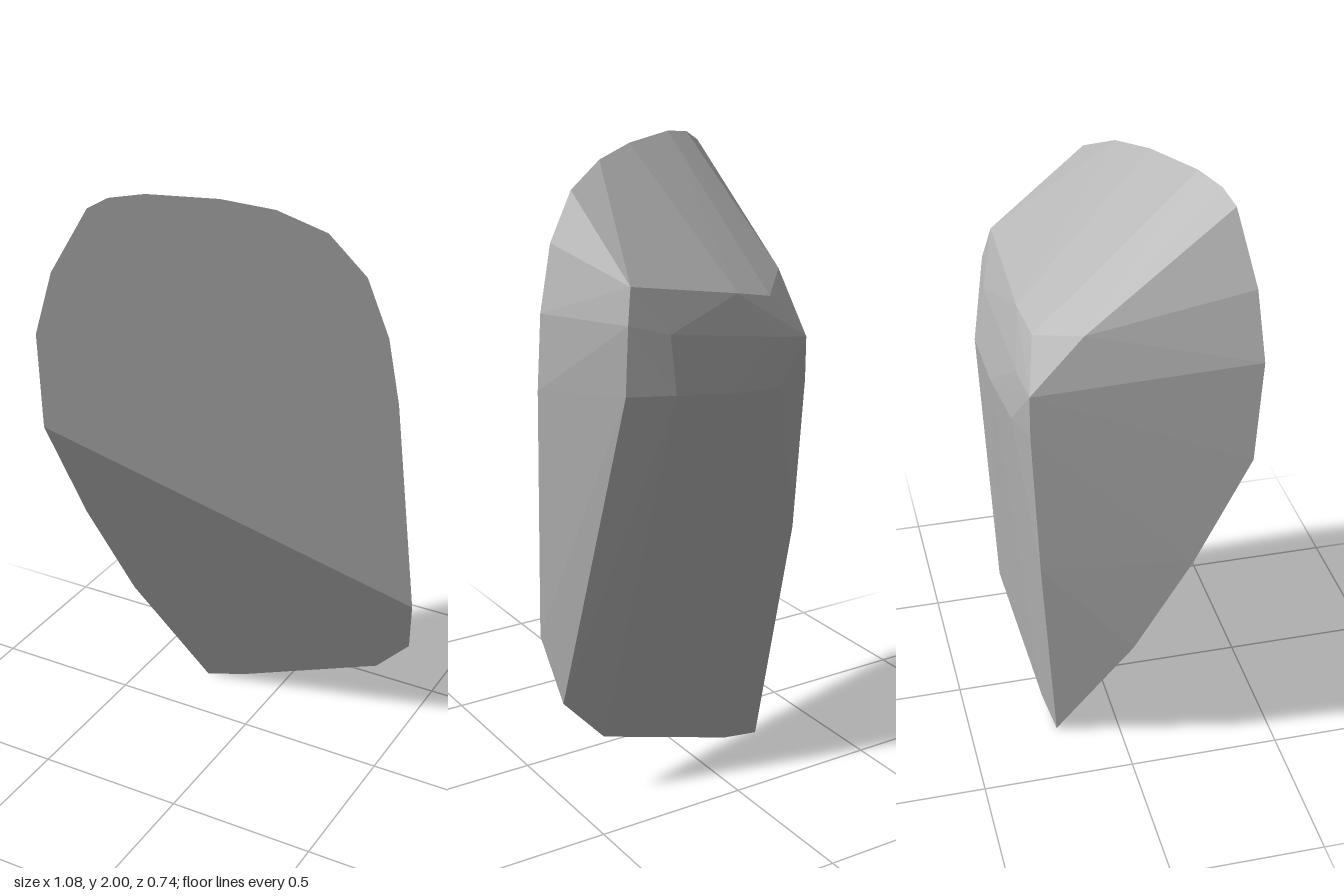
import * as THREE from 'three';
import { ConvexGeometry } from 'three/addons/geometries/ConvexGeometry.js';

// Two flat cuts form the front: a broad upper one and an undercut lower one
const frontDepth = (x, y) => Math.min(
  -0.452 * x + 0.0673 * y + 0.025,
  -0.243 * x + 0.412 * y - 0.275,
);

// Rim of the front cuts, as x, y
const rim = [
  [-0.2, 2], [-0.3, 1.985], [-0.36, 1.95], [-0.475, 1.74], [-0.535, 1.53],
  [-0.54, 1.2], [-0.505, 0.82], [-0.435, 0.45], [-0.27, 0], [-0.13, 0.03],
  [0.37, 0.2], [0.5, 0.34], [0.535, 0.55], [0.505, 1], [0.485, 1.32],
  [0.455, 1.55], [0.395, 1.75], [0.29, 1.89], [0.15, 1.96], [0, 1.99],
];

// Corners of the back, as x, y, z
const back = [
  // sloping top edge
  [-0.365, 1.795, 0.125], [-0.38, 1.598, -0.13], [-0.375, 1.41, -0.295],
  // upper shoulder
  [0.265, 1.65, -0.285], [-0.12, 1.58, -0.28], [-0.255, 1.55, -0.26],
  // middle of the shoulder
  [0.29, 1.54, -0.312], [0.155, 1.5, -0.333], [-0.25, 1.43, -0.31],
  // lower shoulder
  [0.31, 1.33, -0.33], [0.155, 1.32, -0.368], [-0.05, 1.29, -0.357],
  [-0.255, 1.27, -0.33], [-0.375, 1.27, -0.295],
  // long side edge
  [-0.36, 0.76, -0.27],
];

export function createModel() {
  const stone = new THREE.MeshStandardMaterial({ color: 0xb4b4b4, flatShading: true });
  stone.name = 'stone grey';

  const points = [
    ...rim.map(([x, y]) => new THREE.Vector3(x, y, frontDepth(x, y))),
    ...back.map((p) => new THREE.Vector3(...p)),
  ];
  const rock = new THREE.Mesh(new ConvexGeometry(points), stone);
  rock.name = 'rock';

  const group = new THREE.Group();
  group.name = 'standingStone';
  group.add(rock);
  return group;
}
